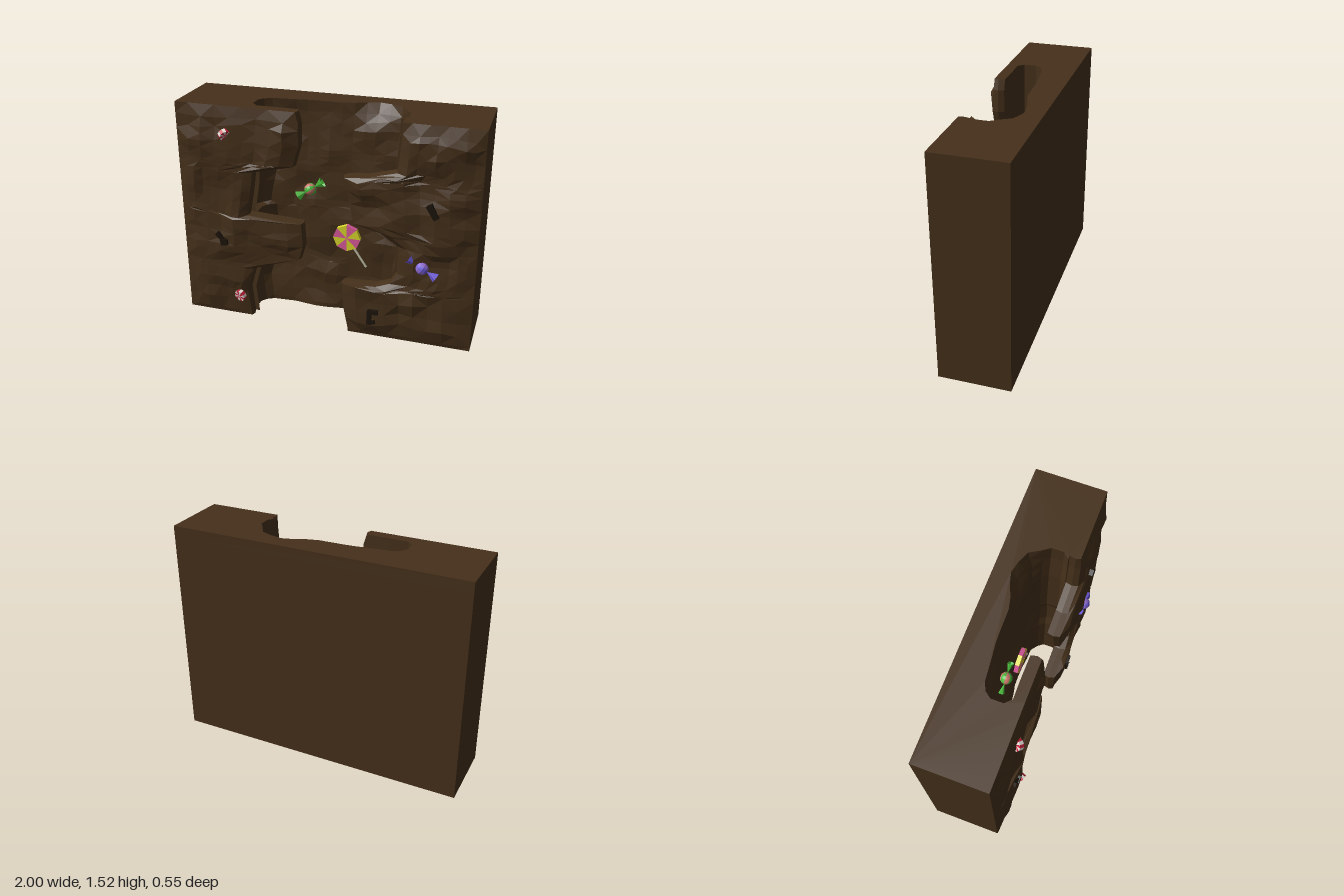
import * as THREE from 'three';

const H = 1.52, BACK = -0.27, FRONT = 0.2;
// edges of the winding slot: [height, x]
const LEFT = [[0, -.53], [.2, -.55], [.38, -.5], [.42, -.4], [.5, -.17], [.6, -.14], [.765, -.15], [.78, -.53],
  [.95, -.5], [1.09, -.48], [1.16, -.2], [1.3, -.16], [1.45, -.16], [H, -.18]];
const RIGHT = [[0, .17], [.03, .17], [.2, .14], [.37, .13], [.385, .36], [.42, .45], [.5, .5], [.7, .5],
  [.78, .38], [.82, .2], [1, .17], [1.13, .14], [1.15, .3], [1.2, .48], [1.4, .5], [H, .5]];

const mat = (color) => new THREE.MeshStandardMaterial({ color, flatShading: true, side: THREE.DoubleSide });
const clamp = (v) => Math.min(1, Math.max(0, v));

function mesh(name, geometry, material, parent) {
  const m = new THREE.Mesh(geometry, material);
  m.name = name;
  parent.add(m);
  return m;
}

function lookup(table, y) {
  for (let i = 1; i < table.length; i++) {
    const [y0, x0] = table[i - 1], [y1, x1] = table[i];
    if (y <= y1) return x0 + (x1 - x0) * (y - y0) / (y1 - y0);
  }
  return table[table.length - 1][1];
}

// smooth value noise, 0..1
function hash(i, j) {
  const s = Math.sin(i * 127.1 + j * 311.7) * 43758.5453;
  return s - Math.floor(s);
}
function noise(x, y, cell) {
  const u = x / cell, v = y / cell, i = Math.floor(u), j = Math.floor(v);
  const a = THREE.MathUtils.lerp(hash(i, j), hash(i + 1, j), u - i);
  const b = THREE.MathUtils.lerp(hash(i, j + 1), hash(i + 1, j + 1), u - i);
  return THREE.MathUtils.lerp(a, b, v - j);
}

// bumpy outer face and bumpy floor of the tunnel
function frontZ(x, y) {
  const lip = x < 0 ? lookup(LEFT, y) - x : x - lookup(RIGHT, y);
  const env = clamp(Math.min(1 - Math.abs(x), y, H - y) / 0.12) * clamp(0.25 + lip / 0.08);
  return FRONT + env * (0.005 + 0.055 * noise(x + 5, y + 3, 0.11));
}
function floorZ(x, y) {
  const dip = 0.1 * Math.exp(-(((x - 0.28) / 0.16) ** 2)) * clamp((y - 1.36) / 0.16);
  return -0.045 - 0.045 * noise(x + 9, y + 7, 0.13) - dip;
}
const shiftY = (x, y) => y + clamp(Math.min(y, H - y) / 0.1) * 0.05 * (noise(x + 2, y, 0.14) - 0.5);

// C-shaped cross-section at one height
function section(y) {
  const cols = 9, L = lookup(LEFT, y), R = lookup(RIGHT, y);
  const wl = Math.min(-0.5, L - 0.01), wr = Math.max(0.49, R + 0.01);
  const p = [[-1, y, BACK], [1, y, BACK]];
  const face = (x0, x1) => {
    for (let i = 0; i <= cols; i++) {
      const x = x0 + (x1 - x0) * i / cols;
      const inner = i > 0 && i < cols;
      p.push([x, inner ? shiftY(x, y) : y, frontZ(x, y)]);
    }
  };
  face(1, R);
  p.push([R - 0.01, y, 0.17], [R, y, 0.13], [(R + wr) / 2, y, 0.128], [wr - 0.04, y, 0.13], [wr, y, 0.09],
    [wr, y, 0.01], [wr - 0.03, y, -0.03]);
  for (let i = 0; i <= 11; i++) {
    const x = wr - 0.08 + (wl - wr + 0.16) * i / 11;
    p.push([x, shiftY(x, y), floorZ(x, y)]);
  }
  p.push([wl + 0.03, y, -0.03], [wl, y, 0.01], [wl, y, 0.09], [wl + 0.04, y, 0.13], [(L + wl) / 2, y, 0.128],
    [L, y, 0.13], [L + 0.01, y, 0.17]);
  face(L, -1);
  return p;
}

function wallGeometry() {
  const breaks = [...new Set([...LEFT, ...RIGHT].map((e) => e[0]))].sort((a, b) => a - b);
  const ys = [0];
  for (let i = 1; i < breaks.length; i++) {
    const a = breaks[i - 1], gap = breaks[i] - a, n = Math.ceil(gap / 0.085);
    for (let k = 1; k <= n; k++) ys.push(a + gap * k / n);
  }
  const rows = ys.map(section), n = rows[0].length, index = [];
  for (let i = 0; i < rows.length - 1; i++) {
    for (let j = 0; j < n; j++) {
      const a = i * n + j, b = i * n + (j + 1) % n, c = b + n, d = a + n;
      if ((i + j) % 2) index.push(a, c, b, a, d, c);
      else index.push(a, d, b, b, d, c);
    }
  }
  // flat top and bottom
  for (const [i, up] of [[0, false], [rows.length - 1, true]]) {
    const pts = rows[i].map((q) => new THREE.Vector2(q[0], q[2]));
    for (const [a, b, c] of THREE.ShapeUtils.triangulateShape(pts, [])) {
      const area = pts[b].clone().sub(pts[a]).cross(pts[c].clone().sub(pts[a]));
      if ((area < 0) === up) index.push(i * n + a, i * n + b, i * n + c);
      else index.push(i * n + a, i * n + c, i * n + b);
    }
  }
  const g = new THREE.BufferGeometry();
  g.setAttribute('position', new THREE.Float32BufferAttribute(rows.flat(2), 3));
  g.setIndex(index);
  const flat = g.toNonIndexed();
  flat.computeVertexNormals();
  return flat;
}

// disc facing +z with alternating coloured wedges
function stripedDisc(name, r, depth, colors, count) {
  const g = new THREE.Group(), mats = colors.map(mat), step = Math.PI * 2 / count;
  g.name = name;
  for (let i = 0; i < count; i++) {
    const geo = new THREE.CylinderGeometry(r, r, depth, 1, 1, false, i * step, step).rotateX(Math.PI / 2);
    mesh('wedge', geo, mats[i % 2], g);
  }
  return g;
}

// round sweet with two twisted paper ends, along x
function wrappedSweet(name, r, colors) {
  const g = new THREE.Group(), mats = colors.map(mat), step = Math.PI / 4;
  g.name = name;
  for (let i = 0; i < 8; i++) {
    mesh('sweet', new THREE.SphereGeometry(r, 1, 6, i * step, step).rotateZ(Math.PI / 2), mats[i % 2], g);
  }
  for (const s of [-1, 1]) {
    const cone = new THREE.ConeGeometry(0.036, 0.07, 7, 1, true).rotateZ(s * Math.PI / 2);
    cone.scale(1, 1, 0.6);
    mesh('twistedEnd', cone, mats[0], g).position.x = s * 0.07;
  }
  return g;
}

export function createModel() {
  const model = new THREE.Group();
  model.name = 'dirtWall';
  mesh('wall', wallGeometry(), mat(0x45301a), model);

  const place = (o, x, y, z, rx = 0, ry = 0, rz = 0) => {
    o.position.set(x, y, z);
    o.rotation.set(rx, ry, rz);
    model.add(o);
  };

  // lollipop on the tunnel floor
  const lolly = stripedDisc('lollipop', 0.097, 0.03, [0xd8d62a, 0xdb5a9c], 8);
  const stick = mesh('stick', new THREE.CylinderGeometry(0.008, 0.008, 0.16, 6), mat(0xc4c2a8), lolly);
  stick.position.set(0.093, -0.14, 0);
  stick.rotation.z = 0.59;
  place(lolly, 0.095, 0.59, -0.035);

  // wrapped sweets
  place(wrappedSweet('greenSweet', 0.042, [0x49b83a, 0xc9776a]), -0.165, 0.915, -0.035, 0, 0, 0.6);
  place(wrappedSweet('purpleSweet', 0.042, [0x6a58d6, 0x8f6bd0]), 0.665, 0.585, frontZ(0.665, 0.585), 0, 0, -0.56);

  // striped mints
  place(stripedDisc('mint', 0.042, 0.03, [0xc42038, 0xe6e0da], 12), -0.6, 0.165, frontZ(-0.6, 0.165) + 0.005, 0.2, -0.3, 0);
  place(stripedDisc('mint', 0.04, 0.03, [0xc42038, 0xe6e0da], 12), -0.65, 1.34, frontZ(-0.65, 1.34), 0.7, 0.7, 0);

  // dark fragments stuck in the front
  const dark = mat(0x1c140b);
  const chip = (x, y, w, h, rz) => {
    const m = mesh('darkFragment', new THREE.BoxGeometry(w, h, 0.03), dark, model);
    place(m, x, y, frontZ(x, y), 0, 0, rz);
  };
  chip(0.715, 0.985, 0.04, 0.1, 0.55);
  chip(-0.71, 0.6, 0.03, 0.1, 0.75);
  chip(-0.69, 0.575, 0.05, 0.04, 0.2);
  chip(0.33, 0.165, 0.03, 0.1, 0);
  chip(0.355, 0.21, 0.07, 0.03, 0);
  chip(0.345, 0.13, 0.05, 0.025, 0.3);
  return model;
}
